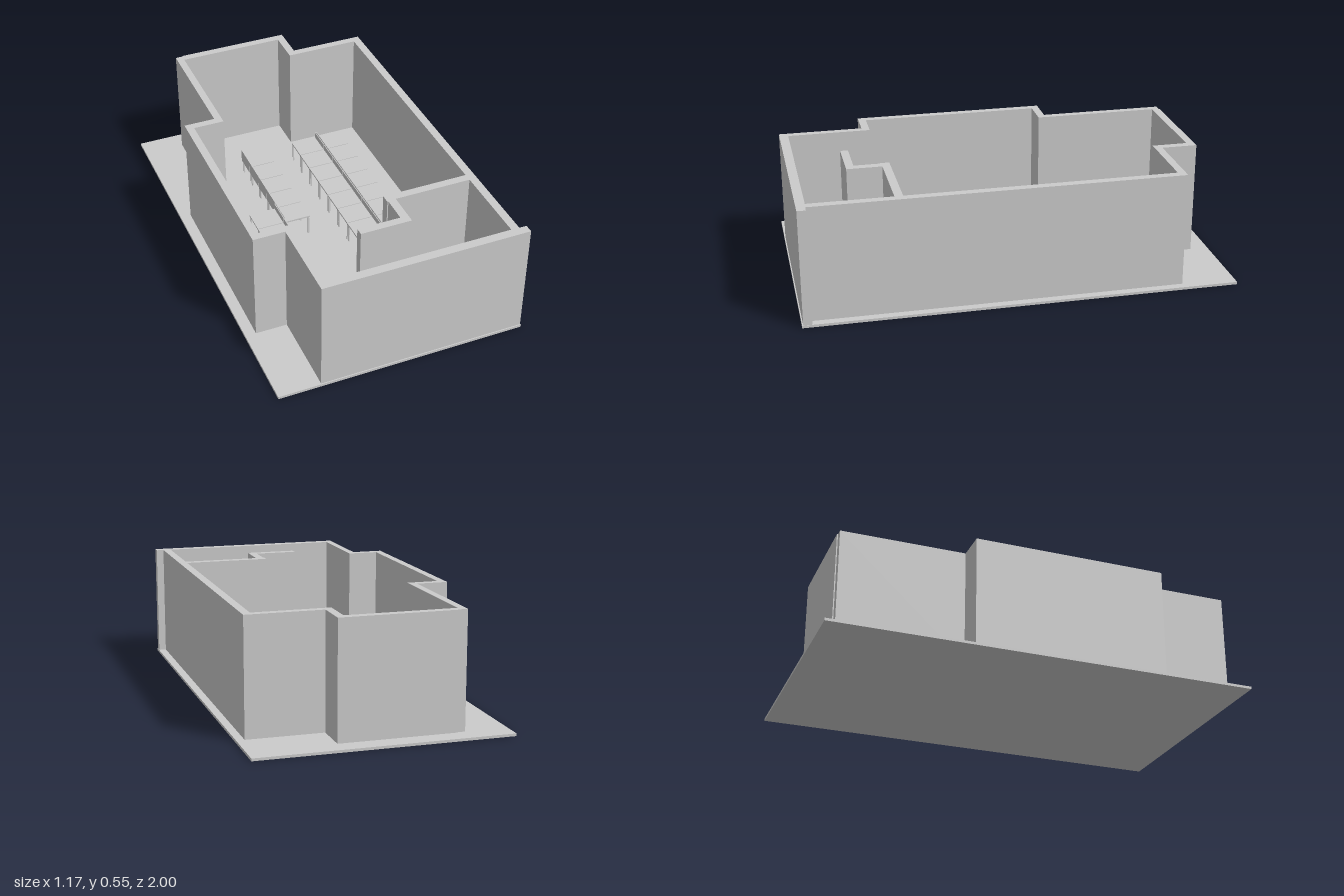
import * as THREE from 'three';

const material = new THREE.MeshStandardMaterial({ color: 0xcccccc });
const FLOOR = 0.012, WALL_TOP = 0.55;

// Plan points are [x, z]; the shape is drawn with y = -z so it lies flat after rotation.
const toPlan = (points) => points.map(([x, z]) => new THREE.Vector2(x, -z));

// Outlines run clockwise seen from above; the hole is reversed so its sides face the room.
function extrudePlan(name, outline, hole) {
  const shape = new THREE.Shape(toPlan(outline));
  if (hole) shape.holes.push(new THREE.Path(toPlan(hole).reverse()));
  const geometry = new THREE.ExtrudeGeometry(shape, { depth: WALL_TOP - FLOOR, bevelEnabled: false });
  geometry.rotateX(-Math.PI / 2).translate(0, FLOOR, 0);
  const mesh = new THREE.Mesh(geometry, material);
  mesh.name = name;
  return mesh;
}

function box(name, w, h, d, x, y, z) {
  const mesh = new THREE.Mesh(new THREE.BoxGeometry(w, h, d), material);
  mesh.position.set(x, y, z);
  mesh.name = name;
  return mesh;
}

// One desk: thin top, four legs and a low screen on the side given by screenSide (+1 or -1 in x).
function createDesk(x, z, screenSide) {
  const desk = new THREE.Group();
  desk.name = 'desk';
  const w = 0.129, d = 0.116, top = 0.12, t = 0.008, leg = 0.006;
  desk.add(box('deskTop', w, t, d, 0, top - t / 2, 0));
  const legHeight = top - t - FLOOR;
  for (const sx of [-1, 1]) {
    for (const sz of [-1, 1]) {
      desk.add(box('deskLeg', leg, legHeight, leg,
        sx * (w / 2 - leg), FLOOR + legHeight / 2, sz * (d / 2 - leg)));
    }
  }
  desk.add(box('deskScreen', 0.004, 0.065, d, screenSide * (w / 2 + 0.002), 0.117, 0));
  desk.position.set(x, 0, z);
  return desk;
}

export function createModel() {
  const model = new THREE.Group();
  model.name = 'officeFloor';

  model.add(box('floorSlab', 1.17, FLOOR, 2, 0, FLOOR / 2, 0));

  // Outer walls: the front wall overruns the side wall, the back wall stands slightly proud of its corner
  model.add(extrudePlan('outerWalls', [
    [-0.386, -0.909], [-0.35, -0.909], [-0.35, -0.914], [0.192, -0.914],
    [0.192, -0.746], [0.548, -0.746],
    [0.548, 0.955], [0.583, 0.955], [0.583, 0.995], [-0.386, 0.995],
    [-0.386, 0.596], [-0.534, 0.596], [-0.534, -0.321], [-0.386, -0.321],
  ], [
    [-0.352, -0.876], [0.155, -0.876], [0.155, -0.71], [0.51, -0.71],
    [0.51, 0.953], [-0.352, 0.953],
    [-0.352, 0.56], [-0.498, 0.56], [-0.498, -0.285], [-0.352, -0.285],
  ]));

  // Stepped partition near the front
  model.add(extrudePlan('partitionWall', [
    [0.51, 0.532], [0.51, 0.57], [0.146, 0.57], [0.146, 0.734],
    [-0.095, 0.734], [-0.095, 0.697], [0.108, 0.697], [0.108, 0.575],
    [0.103, 0.575], [0.103, 0.532],
  ]));

  // Desk rows: x centre, first desk index, desk count, screen side
  const rows = [
    [-0.106, 0, 5, -1], [-0.245, 4, 4, 1],
    [0.166, 0, 8, 1], [0.307, 0, 8, -1],
  ];
  for (const [x, first, count, side] of rows) {
    const row = new THREE.Group();
    row.name = 'deskRow';
    for (let i = first; i < first + count; i++) {
      row.add(createDesk(x, -0.502 + i * 0.1196, side));
    }
    model.add(row);
  }
  return model;
}
